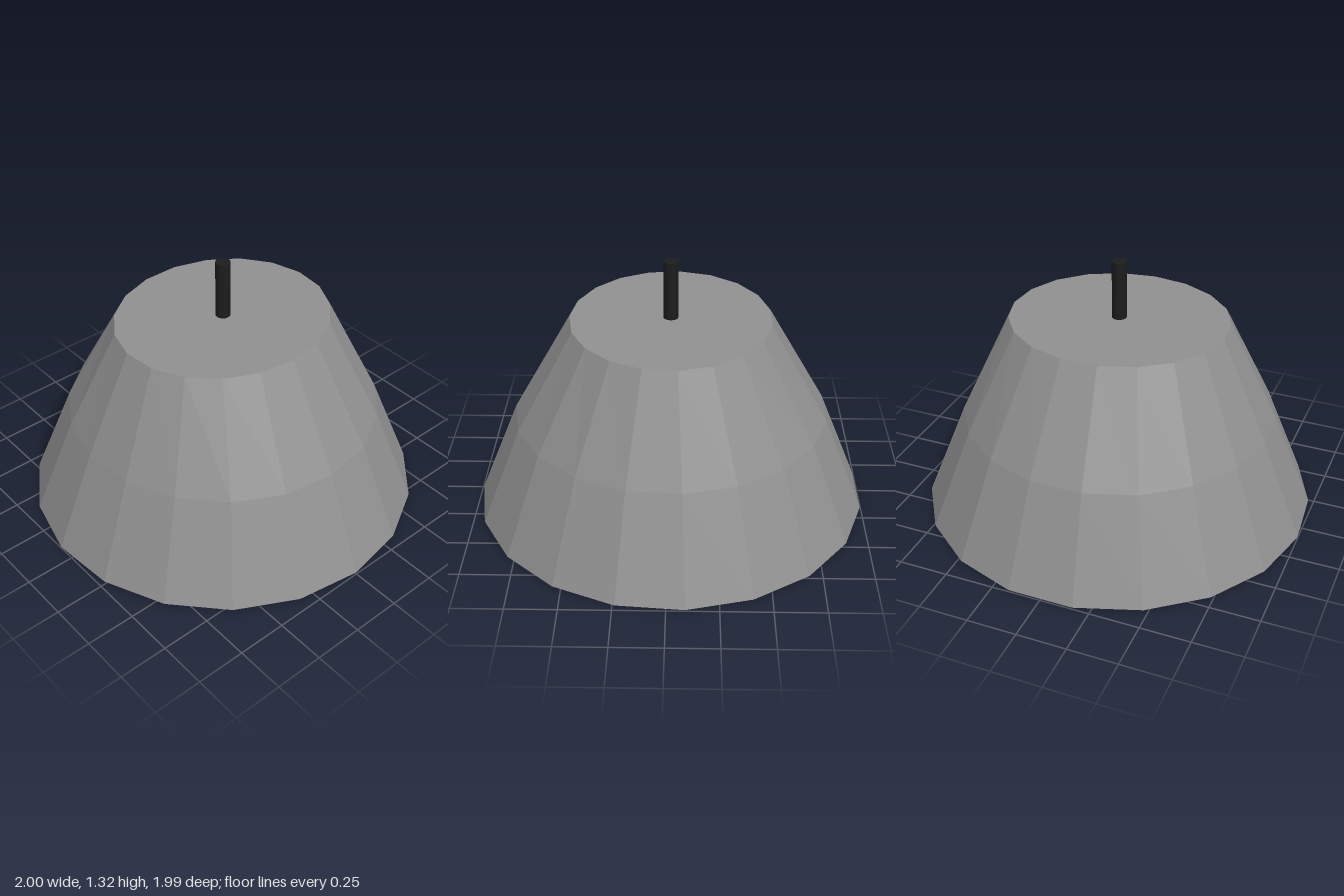
import * as THREE from 'three';

const SIDES = 19;
const TOP = 1.02;

function material(color, flatShading) {
  return new THREE.MeshStandardMaterial({ color, flatShading, side: THREE.DoubleSide });
}

export function createModel() {
  const group = new THREE.Group();

  function add(name, geometry, mat, y) {
    const mesh = new THREE.Mesh(geometry, mat);
    mesh.name = name;
    mesh.position.set(0, y, -0.007);
    group.add(mesh);
  }

  // Faceted shade: inner wall, thin lip, outer wall bent halfway up, closed top
  const profile = [[0.952, 0.1], [0.992, 0], [1.003, 0.006], [0.797, 0.51], [0.557, TOP], [0, TOP]]
    .map(([r, y]) => new THREE.Vector2(r, y));
  const shade = new THREE.LatheGeometry(profile, SIDES);
  // The top ring is slightly oval and tips a little towards the right
  const pos = shade.attributes.position;
  for (let i = 0; i < pos.count; i++) {
    if (pos.getY(i) > 1) {
      pos.setY(i, TOP - 0.005 * pos.getX(i));
      pos.setZ(i, pos.getZ(i) * 0.903);
    }
  }
  add('shade', shade, material(0x909090, true), 0);

  // Recessed diffuser panel inside the lower opening
  const panel = new THREE.CylinderGeometry(0.955, 0.955, 0.004, SIDES);
  add('diffuser', panel, material(0xb3e6eb, true), 0.1);

  // Hanging rod
  const rod = new THREE.CylinderGeometry(0.037, 0.037, 0.31, 20);
  add('rod', rod, material(0x1c1c1c, false), TOP + 0.145);

  return group;
}
